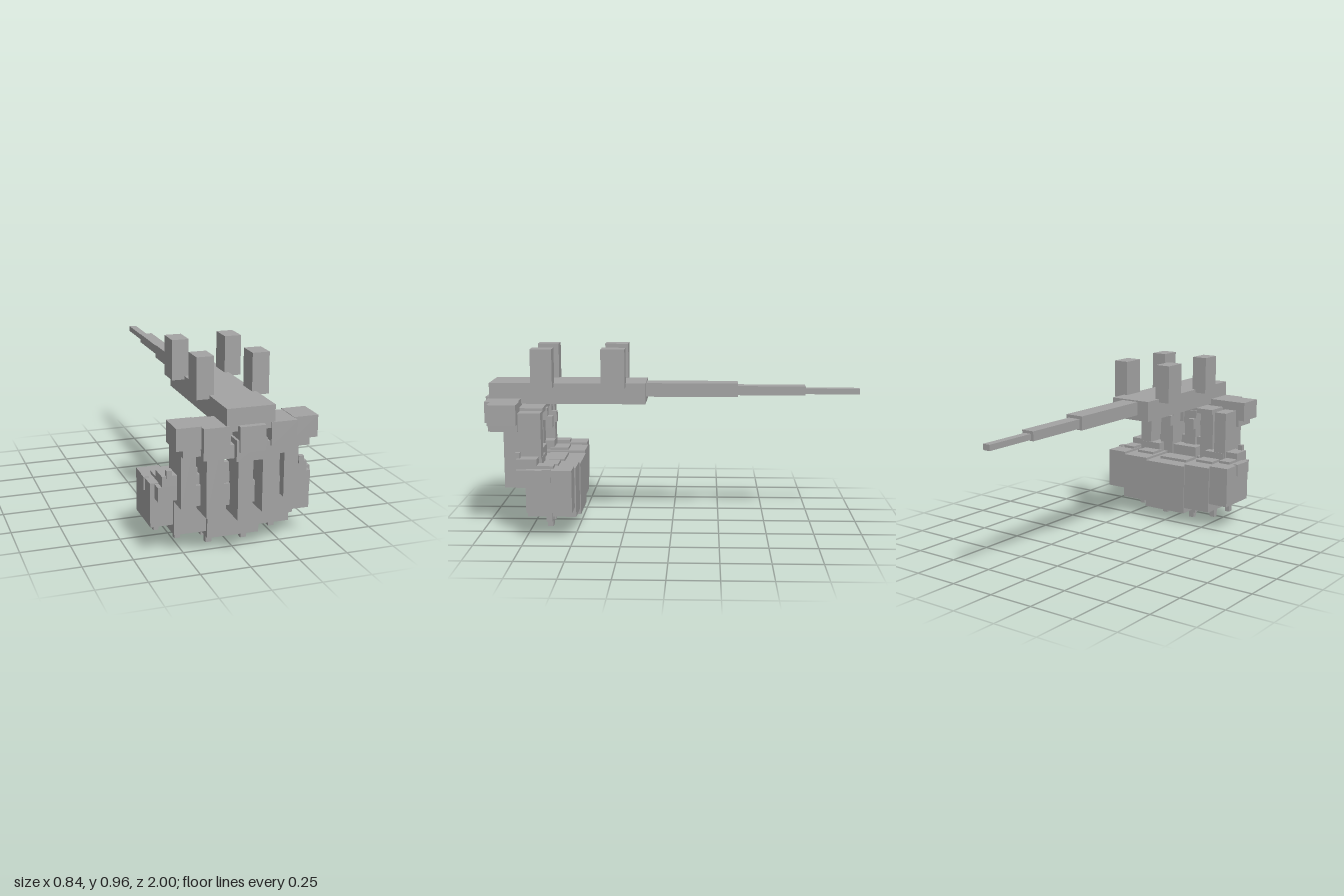
import * as THREE from 'three';

const grey = new THREE.MeshStandardMaterial({ color: 0xa3a3a3 });
grey.name = 'plain grey';

export function createModel() {
  const model = new THREE.Group();
  model.name = 'crane';

  // box given by its low and high limits on each axis
  function box(name, x0, x1, y0, y1, z0, z1) {
    const mesh = new THREE.Mesh(new THREE.BoxGeometry(x1 - x0, y1 - y0, z1 - z0), grey);
    mesh.position.set((x0 + x1) / 2, (y0 + y1) / 2, (z0 + z1) / 2);
    mesh.name = name;
    model.add(mesh);
  }
  // box on the centre line
  const mid = (name, half, ...r) => box(name, -half, half, ...r);
  // mirrored pair of boxes
  function pair(name, x0, x1, ...r) {
    box(name + 'Left', x0, x1, ...r);
    box(name + 'Right', -x1, -x0, ...r);
  }

  // beam with its telescoping tail
  mid('beam', 0.118, 0.665, 0.775, 0.14, 0.97);
  mid('tailBase', 0.05, 0.695, 0.768, -0.35, 0.14);
  mid('tailMiddle', 0.035, 0.703, 0.752, -0.71, -0.35);
  mid('tailTip', 0.02, 0.708, 0.738, -1, -0.71);

  // four upright posts
  for (const [z0, z1] of [[0.245, 0.37], [0.625, 0.738]])
    pair('post', 0.096, 0.182, 0.757, 0.962, z0, z1);

  // stepped row of head blocks with lower lips
  mid('headCentre', 0.063, 0.572, 0.693, 0.81, 1);
  pair('headInner', 0.1, 0.228, 0.58, 0.693, 0.8, 0.975);
  pair('headOuter', 0.225, 0.347, 0.588, 0.695, 0.79, 0.94);
  mid('lipCentre', 0.075, 0.525, 0.627, 0.81, 0.988);
  pair('lipInner', 0.075, 0.225, 0.535, 0.6, 0.8, 0.96);
  pair('lipOuter', 0.2, 0.312, 0.55, 0.6, 0.79, 0.93);

  // cross strip under the beam
  mid('crossStrip', 0.2, 0.627, 0.655, 0.675, 0.9);
  pair('stripPeg', 0.06, 0.1, 0.535, 0.595, 0.638, 0.675);
  pair('stripPegBracket', 0.06, 0.1, 0.575, 0.64, 0.665, 0.72);

  // upright columns
  mid('columnCentre', 0.037, 0.205, 0.64, 0.76, 0.915);
  pair('columnInner', 0.097, 0.182, 0.222, 0.64, 0.72, 0.887);
  pair('columnOuter', 0.222, 0.295, 0.268, 0.645, 0.672, 0.85);

  // stepped base
  mid('baseCentre', 0.133, 0.065, 0.345, 0.49, 0.763);
  pair('baseInner', 0.133, 0.297, 0.097, 0.358, 0.495, 0.748);
  pair('baseOuter', 0.295, 0.411, 0.148, 0.37, 0.502, 0.737);

  // plates on top of the base
  mid('topPlateCentre', 0.09, 0.345, 0.36, 0.58, 0.68);
  pair('topPlateInner', 0.152, 0.26, 0.358, 0.372, 0.59, 0.69);
  pair('topPlateOuter', 0.3, 0.368, 0.37, 0.384, 0.6, 0.7);
  pair('sideTab', 0.39, 0.418, 0.308, 0.375, 0.607, 0.652);

  // clamps on the front of the base, with small teeth
  mid('clampCentre', 0.09, 0.245, 0.355, 0.72, 0.81);
  mid('clampCapCentre', 0.078, 0.34, 0.412, 0.7, 0.8);
  pair('clampToothCentre', 0.04, 0.068, 0.4, 0.46, 0.775, 0.8);
  pair('clampInner', 0.15, 0.268, 0.257, 0.36, 0.7, 0.805);
  pair('clampCapInner', 0.16, 0.285, 0.35, 0.41, 0.67, 0.79);
  pair('clampToothInner', 0.195, 0.22, 0.4, 0.445, 0.765, 0.795);
  pair('clampOuter', 0.29, 0.388, 0.293, 0.365, 0.7, 0.79);
  pair('clampCapOuter', 0.285, 0.368, 0.365, 0.418, 0.685, 0.79);
  pair('clampToothOuter', 0.323, 0.348, 0.408, 0.447, 0.775, 0.8);

  // small feet
  pair('footCentre', 0.077, 0.108, 0, 0.07, 0.64, 0.668);
  pair('footBracket', 0.1, 0.128, 0.035, 0.07, 0.625, 0.655);
  pair('footInner', 0.233, 0.263, 0.035, 0.1, 0.62, 0.65);
  pair('footOuter', 0.34, 0.367, 0.088, 0.15, 0.61, 0.64);

  return model;
}
